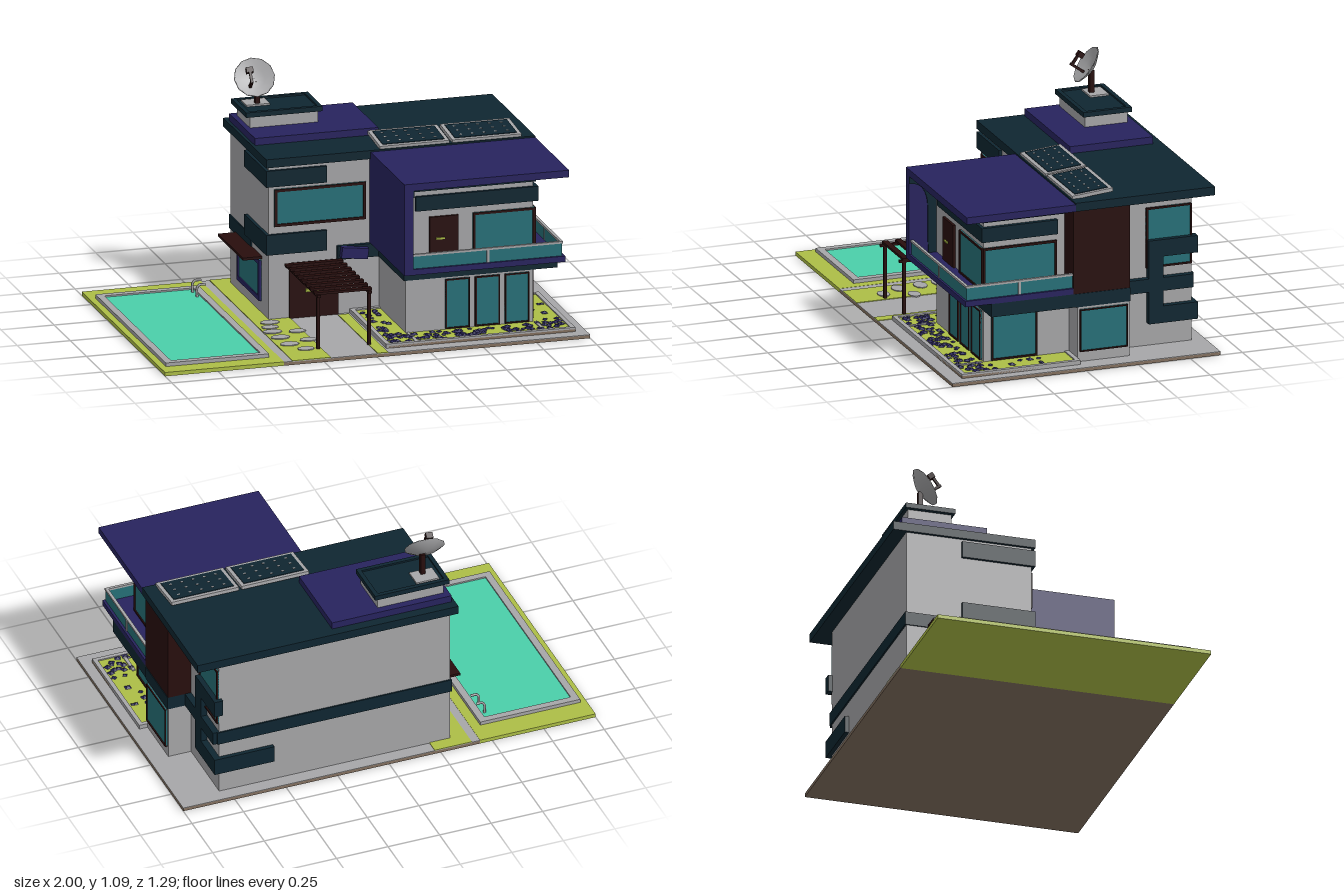
import * as THREE from 'three';

const mat = (name, color) => {
  const m = new THREE.MeshStandardMaterial({ color });
  m.name = name;
  return m;
};

export function createModel() {
  const root = new THREE.Group();
  root.name = 'house';
  const wall = mat('concrete grey', 0xa6a6a8), navy = mat('dark navy', 0x0f2631);
  const purple = mat('deep indigo', 0x27235e), glass = mat('teal glass', 0x267078);
  const water = mat('pool water', 0x4bcfaa), grass = mat('lime grass', 0xadbe46);
  const wood = mat('dark brown', 0x280e0d), stone = mat('taupe stone', 0x83705f);

  let parent = root;
  const add = (name, geo, m) => {
    const mesh = new THREE.Mesh(geo, m);
    mesh.name = name;
    parent.add(mesh);
    return mesh;
  };
  // Box given by its limits on each axis
  const box = (name, m, x0, x1, y0, y1, z0, z1) => {
    const b = add(name, new THREE.BoxGeometry(x1 - x0, y1 - y0, z1 - z0), m);
    b.position.set((x0 + x1) / 2, (y0 + y1) / 2, (z0 + z1) / 2);
    return b;
  };
  const group = (name, build) => {
    const g = new THREE.Group();
    g.name = name;
    root.add(g);
    parent = g;
    build(g);
    parent = root;
  };
  // Flat rectangular ring on the ground
  const rim = (name, m, x0, x1, z0, z1, w, y0, y1) => {
    const s = new THREE.Shape([[x0, -z0], [x1, -z0], [x1, -z1], [x0, -z1]].map(p => new THREE.Vector2(...p)));
    s.holes.push(new THREE.Path([[x0 + w, -z0 - w], [x0 + w, -z1 + w], [x1 - w, -z1 + w], [x1 - w, -z0 - w]].map(p => new THREE.Vector2(...p))));
    const r = add(name, new THREE.ExtrudeGeometry(s, { depth: y1 - y0, bevelEnabled: false }), m);
    r.rotation.x = -Math.PI / 2;
    r.position.y = y0;
    return r;
  };
  // Framed pane: on a z wall (a = x range) or an x wall (a = z range); dir is the outward sign
  const pane = (name, axis, at, dir, a0, a1, y0, y1, frame = wood, t = 0.012) => {
    const put = (n, m, p0, p1, q0, q1, d) => {
      const lo = Math.min(at, at + dir * d), hi = Math.max(at, at + dir * d);
      if (axis === 'z') box(n, m, p0, p1, q0, q1, lo, hi);
      else box(n, m, lo, hi, q0, q1, p0, p1);
    };
    put(name + 'Glass', glass, a0, a1, y0, y1, 0.006);
    put(name + 'Sill', frame, a0, a1, y0, y0 + t, 0.012);
    put(name + 'Head', frame, a0, a1, y1 - t, y1, 0.012);
    put(name + 'JambA', frame, a0, a0 + t, y0, y1, 0.012);
    put(name + 'JambB', frame, a1 - t, a1, y0, y1, 0.012);
  };
  let seed = 7;
  const rnd = () => (seed = (seed * 16807) % 2147483647) / 2147483647;

  group('ground', () => {
    box('slab', stone, -0.44, 1, 0, 0.014, -0.645, 0.645);
    box('paving', wall, -0.44, 1, 0.014, 0.017, -0.645, 0.645);
    box('poolLawn', grass, -1, -0.44, 0, 0.018, -0.645, 0.645);
    box('sideLawn', grass, -0.4, -0.22, 0.017, 0.02, -0.645, 0.645);
    box('pathEdgeLawn', grass, 0, 0.05, 0.017, 0.02, 0.03, 0.645);
    for (const [x, z, r] of [[-0.33, 0.06, 0.045], [-0.35, 0.13, 0.04], [-0.36, 0.2, 0.045], [-0.35, 0.29, 0.045],
      [-0.34, 0.4, 0.045], [-0.29, 0.49, 0.04], [-0.25, 0.22, 0.04], [-0.24, 0.36, 0.04]]) {
      const s = add('steppingStone', new THREE.CylinderGeometry(r, r, 0.006, 9), wall);
      s.position.set(x, 0.021, z);
      s.scale.z = 0.7;
    }
  });

  group('pool', () => {
    rim('poolRim', wall, -0.97, -0.485, -0.535, 0.56, 0.033, 0.017, 0.035);
    box('poolWater', water, -0.94, -0.515, 0.017, 0.028, -0.505, 0.53);
    for (const z of [-0.46, -0.39]) {
      const c = new THREE.CatmullRomCurve3([[-0.535, 0.02], [-0.535, 0.07], [-0.525, 0.083], [-0.495, 0.083]]
        .map(([x, y]) => new THREE.Vector3(x, y, z)));
      add('poolLadderRail', new THREE.TubeGeometry(c, 10, 0.006, 6), wall);
    }
  });

  group('planter', () => {
    box('planterBase', stone, 0.07, 0.95, 0.015, 0.028, 0.01, 0.58);
    box('planterSoil', grass, 0.08, 0.93, 0.028, 0.031, 0.03, 0.565);
    rim('planterRim', wall, 0.06, 0.95, 0.01, 0.58, 0.02, 0.017, 0.037);
    for (const x of [0.2, 0.8]) box('planterDivider', wall, x, x + 0.015, 0.028, 0.036, 0.43, 0.565);
    for (let i = 0; i < 120; i++) {
      const side = i % 4 === 0, east = i % 12 === 0;
      const f = add('flower', new THREE.OctahedronGeometry(0.012 + 0.008 * rnd()), purple);
      f.position.set(east ? 0.84 + 0.08 * rnd() : side ? 0.09 + 0.08 * rnd() : 0.09 + 0.82 * rnd(), 0.033,
        side ? 0.05 + 0.45 * rnd() : 0.45 + 0.105 * rnd());
      f.scale.y = 0.5;
      f.rotation.y = rnd() * 3;
    }
  });

  group('walls', () => {
    box('mainBlock', wall, -0.32, 0.8, 0.017, 0.74, -0.58, 0.01);
    box('eastBayLower', wall, 0.8, 0.91, 0.017, 0.34, -0.24, 0.01);
    box('eastBayCladding', wood, 0.79, 0.912, 0.34, 0.74, -0.243, 0.03);
    box('wing', wall, 0.2, 0.8, 0.017, 0.74, 0.01, 0.42);
  });

  group('bands', () => {
    box('wingBand', navy, 0.19, 0.912, 0.277, 0.34, 0.01, 0.425);
    box('eastBayBand', navy, 0.79, 0.915, 0.277, 0.34, -0.243, 0.02);
    box('entryBand', navy, 0, 0.2, 0.277, 0.34, 0, 0.03);
    box('rearBand', navy, -0.326, 0.81, 0.277, 0.34, -0.587, -0.25);
    for (const [y0, y1] of [[0.325, 0.42], [0.645, 0.722]]) box('cornerHood', navy, -0.335, -0.05, y0, y1, -0.32, 0.025);
    // Stepped ornament around the rear east corner
    box('ornamentPost', navy, 0.79, 0.83, 0.125, 0.52, -0.435, -0.365);
    box('ornamentTop', navy, 0.79, 0.83, 0.44, 0.52, -0.6, -0.365);
    box('ornamentMiddle', navy, 0.79, 0.83, 0.277, 0.34, -0.58, -0.24);
    box('ornamentBottom', navy, 0.54, 0.83, 0.125, 0.205, -0.6, -0.57);
    box('ornamentBottomSide', navy, 0.79, 0.83, 0.125, 0.205, -0.6, -0.365);
  });

  group('openings', () => {
    pane('upperWindow', 'z', 0.01, 1, -0.295, 0.135, 0.455, 0.63);
    box('door', wood, -0.225, 0.005, 0.018, 0.277, 0, 0.02);
    box('doorHandle', grass, -0.15, -0.085, 0.138, 0.152, 0.02, 0.03);
    for (const x of [0.385, 0.525, 0.665]) pane('terraceDoor', 'z', 0.42, 1, x, x + 0.115, 0.035, 0.268, wood, 0.006);
    pane('terraceSideDoor', 'x', 0.8, 1, 0.165, 0.385, 0.035, 0.268, wood, 0.008);
    pane('eastLowerWindow', 'x', 0.91, 1, -0.23, 0, 0.065, 0.265, wood, 0.006);
    pane('eastUpperWindow', 'x', 0.8, 1, -0.579, -0.36, 0.385, 0.67, wood, 0.008);
    pane('balconyWindowFront', 'z', 0.42, 1, 0.515, 0.806, 0.365, 0.57, wood, 0.01);
    pane('balconyWindowSide', 'x', 0.8, 1, 0.07, 0.426, 0.365, 0.57, wood, 0.01);
    box('balconyDoor', wood, 0.31, 0.445, 0.365, 0.568, 0.415, 0.432);
    box('balconyDoorHandle', grass, 0.34, 0.38, 0.462, 0.47, 0.432, 0.438);
    pane('westWindow', 'x', -0.32, -1, -0.45, -0.1, 0.075, 0.265, purple, 0.02);
    box('westAwning', wood, -0.41, -0.32, 0.275, 0.287, -0.48, -0.09);
  });

  group('balcony', () => {
    box('balconyFloor', purple, 0.155, 0.912, 0.34, 0.367, 0.02, 0.55);
    box('balconyRoof', purple, 0.155, 0.93, 0.737, 0.77, 0.025, 0.55);
    box('balconySidePanel', purple, 0.155, 0.197, 0.34, 0.77, 0.012, 0.55);
    // Curved dark lining on the inner face of the side panel
    const s = new THREE.Shape();
    s.moveTo(0.42, 0.367);
    s.lineTo(0.46, 0.367);
    s.lineTo(0.463, 0.6);
    s.quadraticCurveTo(0.47, 0.7, 0.55, 0.705);
    s.lineTo(0.55, 0.737);
    s.lineTo(0.42, 0.737);
    const lining = add('sidePanelLining', new THREE.ExtrudeGeometry(s, { depth: 0.006, bevelEnabled: false }), navy);
    lining.rotation.y = -Math.PI / 2;
    lining.position.x = 0.203;
    box('wingHood', navy, 0.245, 0.82, 0.602, 0.67, 0.07, 0.435);
    for (const y of [0.692, 0.709, 0.726]) box('louvre', navy, 0.2, 0.81, y, y + 0.008, 0.03, 0.428);
    box('railGlassFront', glass, 0.197, 0.9, 0.367, 0.425, 0.533, 0.54);
    box('railGlassSide', glass, 0.893, 0.9, 0.367, 0.425, 0.03, 0.54);
    box('handrailFront', wall, 0.197, 0.904, 0.425, 0.435, 0.53, 0.543);
    box('handrailSide', wall, 0.89, 0.904, 0.425, 0.435, 0.03, 0.543);
    box('railPostFront', wall, 0.545, 0.557, 0.367, 0.43, 0.53, 0.543);
    box('railPostSide', wall, 0.89, 0.904, 0.367, 0.43, 0.28, 0.292);
    const c = box('entryCanopy', purple, 0.01, 0.135, 0.285, 0.335, 0.03, 0.06);
    c.rotation.z = -0.12;
  });

  group('roof', () => {
    box('mainRoof', navy, -0.335, 0.93, 0.737, 0.777, -0.645, 0.025);
    box('roofPlate', purple, -0.32, 0.26, 0.777, 0.81, -0.6, -0.2);
    box('stairHouse', wall, -0.295, 0.025, 0.8, 0.866, -0.565, -0.36);
    box('stairHouseCap', navy, -0.317, 0.043, 0.863, 0.878, -0.58, -0.347);
    rim('capRim', navy, -0.317, 0.043, -0.58, -0.347, 0.02, 0.875, 0.886);
    box('mastPlate', wall, -0.28, -0.17, 0.876, 0.886, -0.55, -0.46);
  });

  for (const x of [0.365, 0.705]) group('solarPanel', g => {
    g.position.set(x, 0.79, -0.08);
    g.rotation.x = 0.09;
    box('panelFrame', wall, -0.163, 0.163, -0.008, 0.009, -0.098, 0.098);
    box('panelCells', navy, -0.146, 0.146, 0.009, 0.012, -0.08, 0.08);
    for (let i = -2; i <= 2; i++) for (const z of [-0.05, 0, 0.05])
      box('cellMark', wall, i * 0.055 - 0.006, i * 0.055 + 0.006, 0.012, 0.014, z - 0.004, z + 0.004);
  });

  group('satelliteDish', g => {
    box('mast', wood, -0.235, -0.213, 0.88, 0.99, -0.496, -0.474);
    const dish = new THREE.Group();
    dish.name = 'dishHead';
    dish.position.set(-0.24, 1.005, -0.478);
    dish.rotation.set(0.95, 0, 0.12);
    g.add(dish);
    parent = dish;
    // Shallow bowl with its opening along local +y
    const profile = [[0.001, -0.018], [0.05, -0.011], [0.094, 0.012], [0.09, 0.017], [0.05, -0.004], [0.001, -0.01]];
    add('bowl', new THREE.LatheGeometry(profile.map(p => new THREE.Vector2(...p)), 12), wall).material.side = THREE.FrontSide;
    box('feedArm', wood, -0.03, -0.018, -0.01, 0.07, 0.03, 0.042);
    box('feedBracket', wood, -0.03, -0.018, 0.055, 0.067, -0.03, 0.04);
    box('feedHorn', wood, -0.04, -0.008, 0.04, 0.068, -0.035, -0.01);
  });

  group('pergola', () => {
    for (const x of [-0.238, 0.002]) {
      box('pergolaPost', wood, x - 0.007, x + 0.007, 0.017, 0.27, 0.495, 0.509);
      box('pergolaBeam', wood, x - 0.008, x + 0.008, 0.265, 0.277, 0.02, 0.525);
    }
    for (let i = 0; i < 8; i++) {
      const z = 0.055 + i * 0.063;
      box('pergolaSlat', wood, -0.255, 0.015, 0.275, 0.286, z - 0.014, z + 0.014);
    }
  });

  return root;
}
